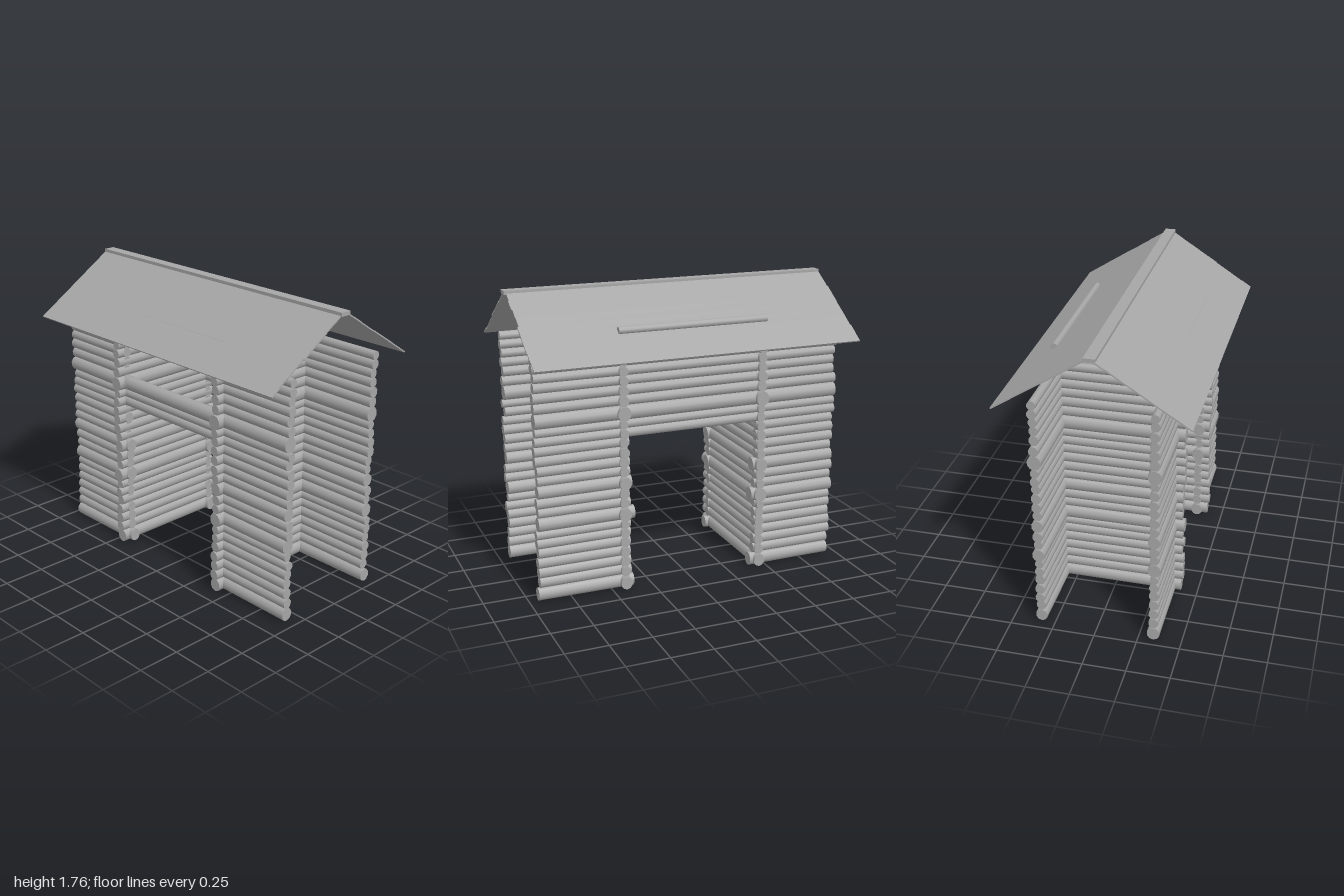
import * as THREE from 'three';

// Bottom edge of every log course; the last value is the wall top
const COURSES = [0, 0.08, 0.14, 0.2, 0.26, 0.32, 0.375, 0.425, 0.505, 0.56, 0.62, 0.695, 0.75, 0.81,
  0.87, 0.925, 0.98, 1.03, 1.115, 1.175, 1.235, 1.29, 1.345, 1.4, 1.45];
const FRONT_Z = 0.337, BACK_Z = -0.33;
const LEFT_X = 0.42, RIGHT_X = -0.45;

export function createModel() {
  const model = new THREE.Group();
  const wood = new THREE.MeshStandardMaterial({ color: 0xa6a6a6 });

  // Seeded variation of log lengths and tapers
  let seed = 7;
  const vary = (amount) => {
    seed = (seed * 16807) % 2147483647;
    return (seed / 2147483647 - 0.5) * 2 * amount;
  };

  function part(name) {
    const group = new THREE.Group();
    group.name = name;
    model.add(group);
    return group;
  }

  // A slightly tapered log lying along z, a little taller than wide
  function logAlongZ(parent, x, y, z0, z1, radius) {
    const taper = vary(0.04);
    const geometry = new THREE.CylinderGeometry(radius * (1 + taper), radius * (1 - taper), z1 - z0, 10);
    geometry.rotateX(Math.PI / 2);
    geometry.scale(0.92, 1, 1);
    const log = new THREE.Mesh(geometry, wood);
    log.name = 'log';
    log.position.set(x, y, (z0 + z1) / 2);
    parent.add(log);
    return log;
  }

  // The same log turned to lie along x
  function logAlongX(parent, x0, x1, y, z, radius) {
    const half = (x1 - x0) / 2;
    const log = logAlongZ(parent, 0, y, -half, half, radius);
    log.rotation.y = Math.PI / 2;
    log.position.set((x0 + x1) / 2, y, z);
  }

  // Calls back with centre height, radius and fatness for each course in a height range
  function eachCourse(low, high, build) {
    for (let i = 0; i < COURSES.length - 1; i++) {
      if (COURSES[i] < low || COURSES[i] >= high) continue;
      const height = COURSES[i + 1] - COURSES[i];
      build((COURSES[i] + COURSES[i + 1]) / 2, height / 2 + (i ? 0.002 : 0), height > 0.07);
    }
  }

  // Front and back wing walls
  const wings = [
    ['rightFrontWall', -0.945, -0.425, FRONT_Z], ['leftFrontWall', 0.385, 0.94, FRONT_Z],
    ['rightBackWall', -0.945, -0.425, BACK_Z], ['leftBackWall', 0.385, 0.94, BACK_Z],
  ];
  for (const [name, x0, x1, z] of wings) {
    const wall = part(name);
    eachCourse(0, 1.45, (y, r, fat) => {
      const reach = fat ? 0.022 : 0;
      const start = x0 - (x0 > 0 ? reach : 0) + vary(0.01);
      const end = x1 + (x0 < 0 ? reach : 0) + vary(0.008);
      logAlongX(wall, start, end, y, z, r);
    });
  }

  // Passage walls running front to back
  for (const [name, x] of [['leftPassageWall', LEFT_X], ['rightPassageWall', RIGHT_X]]) {
    const wall = part(name);
    eachCourse(0, 1.45, (y, r, fat) => {
      logAlongZ(wall, x, y, -0.376 - (fat ? 0.012 : 0) + vary(0.006), 0.408 + vary(0.008), r);
    });
  }

  // Back wall over the passage, and the lower beam on the front
  const backLintel = part('backLintelWall');
  eachCourse(0.92, 1.45, (y, r) => logAlongX(backLintel, -0.47, 0.44, y, BACK_Z, r));
  const frontBeam = part('frontBeam');
  eachCourse(0.92, 1.1, (y, r) => logAlongX(frontBeam, -0.47, 0.44, y, FRONT_Z, r));

  // Top plates carrying the roof
  const plates = part('topPlates');
  for (const [z, yTop] of [[FRONT_Z, 1.52], [-0.343, 1.549]]) {
    logAlongX(plates, -0.475, 0.435, 1.415, z, 0.033);
    logAlongX(plates, -0.475, 0.435, 1.485, z, 0.04);
    logAlongX(plates, -0.48, 0.44, yTop, z, 0.022);
  }

  // Roof slopes made of rows of thin boards
  const ROWS = 9;
  const rise = 1.742 - 1.408, run = 0.52;
  const slopeLength = Math.hypot(rise, run), angle = Math.atan2(rise, run);
  for (const [name, sign] of [['frontRoof', 1], ['backRoof', -1]]) {
    const slope = part(name);
    slope.position.set(0, 1.742, sign * 0.021);
    slope.rotation.x = sign * angle;
    for (let i = 0; i < ROWS; i++) {
      const x0 = -0.997 + vary(0.003), x1 = 0.985 + vary(0.005);
      const depth = slopeLength / ROWS;
      const board = new THREE.Mesh(new THREE.BoxGeometry(x1 - x0, 0.008, depth), wood);
      board.name = 'roofBoard';
      board.position.set((x0 + x1) / 2, 0, sign * depth * (i + 0.5));
      slope.add(board);
    }
  }

  // Ridge cap
  const ridge = new THREE.Mesh(new THREE.BoxGeometry(1.995, 0.022, 0.066), wood);
  ridge.name = 'ridgeCap';
  ridge.position.set(0.001, 1.745, 0.003);
  model.add(ridge);

  return model;
}
